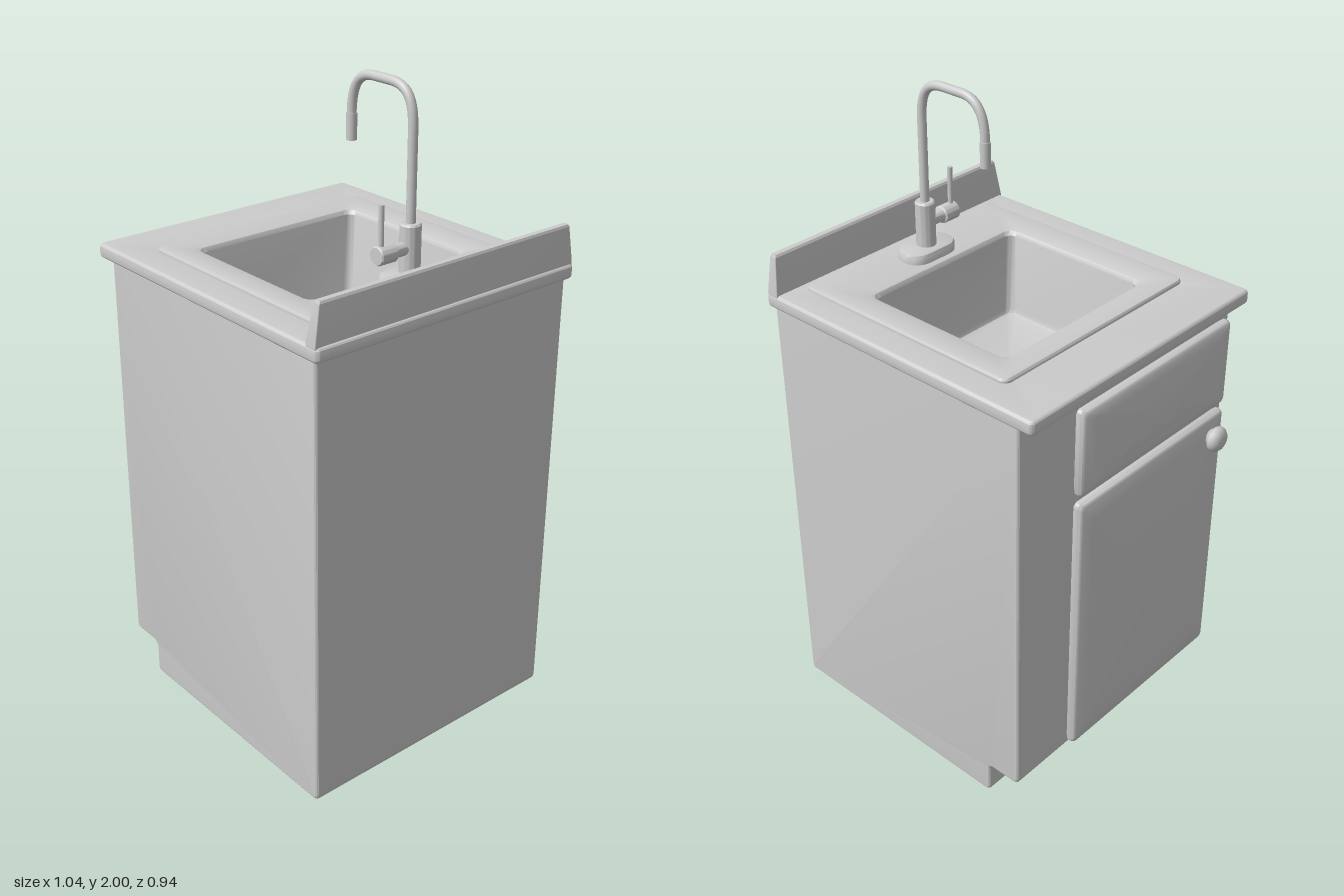
import * as THREE from 'three';
import { toCreasedNormals } from 'three/addons/utils/BufferGeometryUtils.js';

const material = new THREE.MeshStandardMaterial({ color: 0xcccccc, side: THREE.DoubleSide });

// Rounded rectangle outline, counter-clockwise
function rectPoints(x0, x1, y0, y1, r, n = 5) {
  const corners = [[x1 - r, y1 - r], [x0 + r, y1 - r], [x0 + r, y0 + r], [x1 - r, y0 + r]];
  const points = [];
  corners.forEach(([cx, cy], i) => {
    for (let k = 0; k <= n; k++) {
      const a = (i + k / n) * Math.PI / 2;
      points.push(new THREE.Vector2(cx + r * Math.cos(a), cy + r * Math.sin(a)));
    }
  });
  return points;
}

// Skin over rounded rectangles [x0, x1, z0, z1, radius, height]; the last one is closed
function loft(rings, crease = 0.6) {
  const positions = [], index = [];
  let n = 0;
  rings.forEach(([x0, x1, z0, z1, r, y], j) => {
    const points = rectPoints(x0, x1, -z1, -z0, r);
    n = points.length;
    points.forEach((p, i) => {
      positions.push(p.x, y, -p.y);
      if (j === 0) return;
      const a = (j - 1) * n + i, b = (j - 1) * n + (i + 1) % n;
      index.push(a, b, b + n, a, b + n, a + n);
    });
  });
  const [x0, x1, z0, z1, , y] = rings[rings.length - 1];
  positions.push((x0 + x1) / 2, y, (z0 + z1) / 2);
  const last = (rings.length - 1) * n;
  for (let i = 0; i < n; i++) index.push(last + i, last + (i + 1) % n, last + n);
  const geometry = new THREE.BufferGeometry();
  geometry.setAttribute('position', new THREE.Float32BufferAttribute(positions, 3));
  geometry.setIndex(index);
  return toCreasedNormals(geometry, crease);
}

// Extrusion whose bevel stays inside the outline and the depth
function extrude(shape, depth, bevel) {
  const geometry = new THREE.ExtrudeGeometry(shape, {
    depth: depth - 2 * bevel, bevelSize: bevel, bevelThickness: bevel,
    bevelOffset: -bevel, bevelSegments: 4, curveSegments: 6,
  });
  return geometry.translate(0, 0, bevel);
}

function add(parent, name, geometry, x = 0, y = 0, z = 0) {
  const mesh = new THREE.Mesh(geometry, material);
  mesh.name = name;
  mesh.position.set(x, y, z);
  parent.add(mesh);
}

// Thin rounded shell with a toe notch, open below and under the countertop
function addCabinet(model) {
  const top = 1.412;
  const side = new THREE.Shape();
  side.moveTo(-0.44, top);
  side.lineTo(-0.44, 0.132);
  side.quadraticCurveTo(-0.44, 0.11, -0.418, 0.11);
  side.lineTo(-0.345, 0.11);
  side.quadraticCurveTo(-0.325, 0.11, -0.325, 0.09);
  side.lineTo(-0.325, 0.022);
  side.quadraticCurveTo(-0.325, 0, -0.303, 0);
  side.lineTo(0.478, 0);
  side.quadraticCurveTo(0.5, 0, 0.5, 0.022);
  side.lineTo(0.5, top);
  const solid = extrude(side, 0.92, 0.012).toNonIndexed().getAttribute('position');

  const kept = [];
  for (let i = 0; i < solid.count; i += 3) {
    const heights = [0, 1, 2].map(k => solid.getY(i + k));
    if (Math.max(...heights) < 0.0005 || Math.min(...heights) > top - 0.0005) continue;
    for (let k = i; k < i + 3; k++) kept.push(solid.getX(k), solid.getY(k), solid.getZ(k));
  }
  const shell = new THREE.BufferGeometry();
  shell.setAttribute('position', new THREE.Float32BufferAttribute(kept, 3));
  add(model, 'cabinet', toCreasedNormals(shell, 0.35), 0, 0, -0.46);
}

// Slab with a pillowed face, turned to face -x
function addPanel(model, name, y0, y1) {
  const z0 = -0.24, z1 = 0.43, cy = (y0 + y1) / 2, cz = (z0 + z1) / 2;
  const ring = (s, inset, x) => {
    const h = ((y1 - y0) / 2 - inset) * s, w = ((z1 - z0) / 2 - inset) * s;
    return [cy - h, cy + h, cz - w, cz + w, 0.015 * s, x];
  };
  const rings = [ring(1, 0.008, 0.438), ring(1, 0, 0.448), ring(1, 0, 0.46), ring(1, 0.004, 0.468), ring(1, 0.012, 0.473)];
  for (let i = 1; i <= 8; i++) {
    const s = 1 - i / 8.5;
    rings.push(ring(s, 0.012, 0.473 + 0.021 * (1 - s * s)));
  }
  add(model, name, loft(rings).rotateZ(Math.PI / 2));
}

function addCounter(model) {
  const top = new THREE.Shape(rectPoints(-0.495, 0.52, -0.472, 0.472, 0.016));
  top.holes.push(new THREE.Path(rectPoints(-0.28, 0.305, -0.325, 0.325, 0.03).reverse()));
  add(model, 'countertop', toCreasedNormals(extrude(top, 0.045, 0.013), 0.35).rotateX(-Math.PI / 2), 0, 1.397, 0);
  add(model, 'backsplash', loft([
    [0.472, 0.512, -0.47, 0.47, 0.003, 1.435],
    [0.472, 0.512, -0.47, 0.47, 0.003, 1.445],
    [0.484, 0.508, -0.453, 0.453, 0.003, 1.553],
    [0.488, 0.505, -0.45, 0.45, 0.003, 1.56],
  ], 0.3));
}

function addSink(model) {
  const rim = (d, r, y) => [-0.327 + d, 0.45 - d, -0.385 + d, 0.38 - d, r, y];
  const bowl = (d, r, y) => [-0.24 + d, 0.263 - d, -0.287 + d, 0.283 - d, r, y];
  add(model, 'sink', loft([
    rim(0, 0.025, 1.435), rim(0, 0.025, 1.448), rim(0.004, 0.022, 1.454), rim(0.012, 0.02, 1.456),
    bowl(-0.02, 0.035, 1.451), bowl(-0.008, 0.028, 1.447), bowl(0, 0.025, 1.435),
    bowl(0.005, 0.025, 1.185), bowl(0.01, 0.025, 1.171), bowl(0.024, 0.02, 1.165),
  ]));
  add(model, 'drain', new THREE.CylinderGeometry(0.048, 0.048, 0.008, 32), 0.11, 1.165, 0);
}

function addFaucet(model) {
  const faucet = new THREE.Group();
  faucet.name = 'faucet';
  faucet.position.x = 0.342;
  model.add(faucet);

  const base = d => [-0.055 + d, 0.055 - d, -0.095 + d, 0.095 - d, 0.053 - d];
  add(faucet, 'faucetBase', loft([[...base(0), 1.445], [...base(0), 1.472], [...base(0.004), 1.479], [...base(0.012), 1.482]]));
  const turned = points => toCreasedNormals(
    new THREE.LatheGeometry(points.map(p => new THREE.Vector2(...p)), 28), 0.6);
  add(faucet, 'faucetBody', turned([[0, 1.47], [0.03, 1.47], [0.03, 1.615], [0.026, 1.62], [0, 1.62]]));

  // Side valve and lever
  add(faucet, 'valve', turned([
    [0, 0], [0.02, 0], [0.019, 0.05], [0.021, 0.062], [0.027, 0.066], [0.027, 0.118], [0.024, 0.122], [0, 0.122],
  ]).rotateX(Math.PI / 2), 0, 1.552, 0);
  add(faucet, 'lever', new THREE.CylinderGeometry(0.008, 0.008, 0.13, 14), 0, 1.627, 0.106);

  // Gooseneck spout
  const v = (x, y) => new THREE.Vector3(x, y, 0);
  const path = new THREE.CurvePath();
  path.add(new THREE.LineCurve3(v(0, 1.6), v(0, 1.87)));
  path.add(new THREE.CubicBezierCurve3(v(0, 1.87), v(0, 1.96), v(-0.03, 1.986), v(-0.09, 1.986)));
  path.add(new THREE.LineCurve3(v(-0.09, 1.986), v(-0.155, 1.986)));
  path.add(new THREE.CubicBezierCurve3(v(-0.155, 1.986), v(-0.215, 1.986), v(-0.245, 1.95), v(-0.245, 1.86)));
  add(faucet, 'spout', new THREE.TubeGeometry(path, 90, 0.0135, 16));
  add(faucet, 'nozzle', new THREE.CylinderGeometry(0.0155, 0.0155, 0.075, 18), -0.245, 1.832, 0);
}

function addKnob(model) {
  const profile = [[0, 0], [0.024, 0], [0.026, 0.012], [0.036, 0.017], [0.041, 0.026], [0.039, 0.037], [0.03, 0.047], [0.015, 0.052], [0, 0.053]];
  const knob = new THREE.LatheGeometry(profile.map(p => new THREE.Vector2(...p)), 28);
  add(model, 'doorKnob', knob.rotateZ(Math.PI / 2), -0.471, 0.98, 0.362);
}

export function createModel() {
  const model = new THREE.Group();
  model.name = 'sinkCabinet';
  addCabinet(model);
  addPanel(model, 'drawerFront', 1.07, 1.35);
  addPanel(model, 'door', 0.135, 1.045);
  addCounter(model);
  addSink(model);
  addFaucet(model);
  addKnob(model);
  return model;
}
